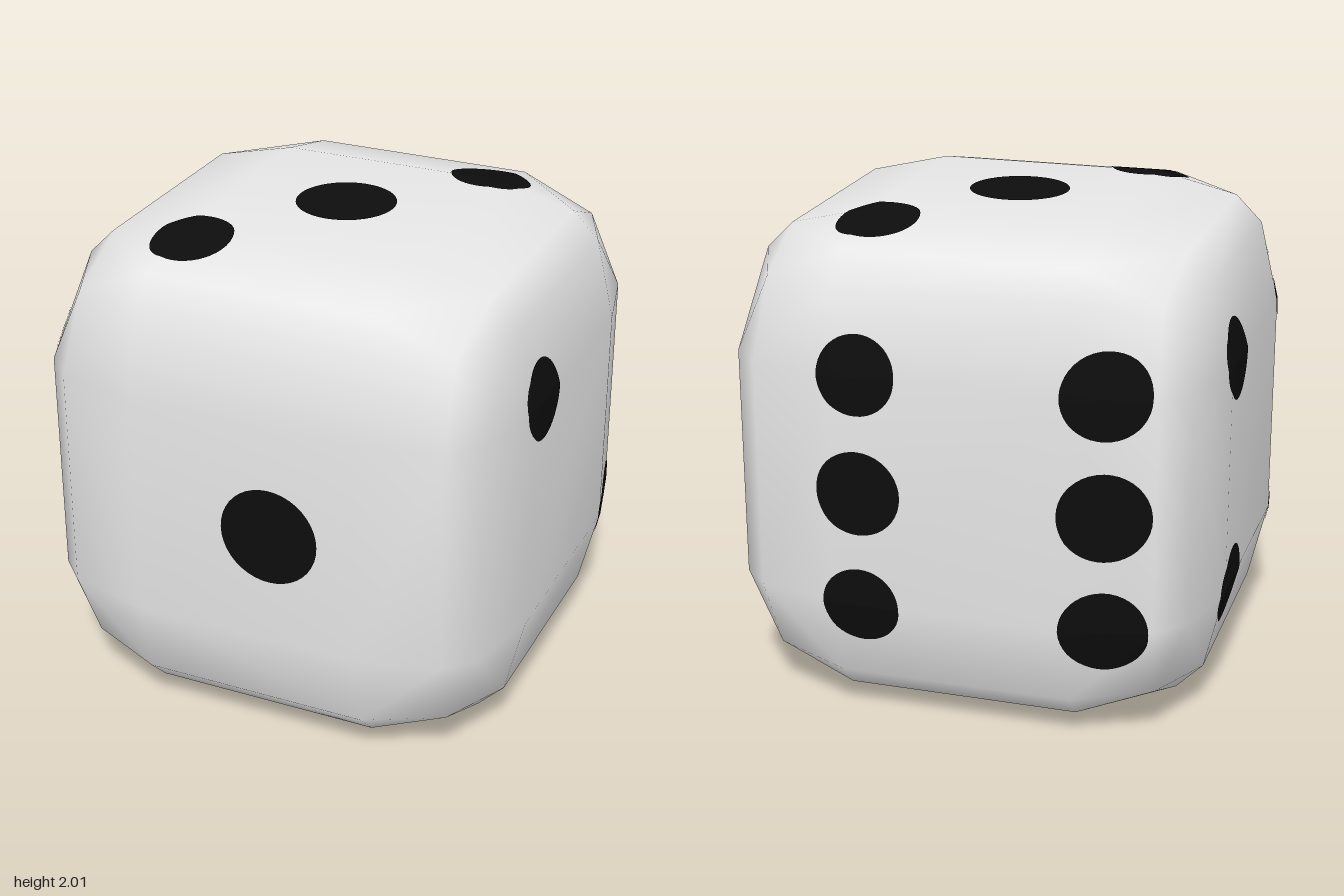
import * as THREE from 'three';
import { ConvexGeometry } from 'three/addons/geometries/ConvexGeometry.js';
import { mergeVertices } from 'three/addons/utils/BufferGeometryUtils.js';

const shellMat = new THREE.MeshStandardMaterial({ color: 0xe7e7e7 });
shellMat.name = 'paleGrey';
const pipMat = new THREE.MeshStandardMaterial({ color: 0x0d0d0d });
pipMat.name = 'black';

// Chamfered cube: a flat square on each face, bevelled edges, one point per corner
function bodyGeometry() {
  const points = [];
  const shapes = [
    [0.475, 0.475, 1], [0.475, 1, 0.475], [1, 0.475, 0.475],
    [0.475, 0.81, 0.92], [0.475, 0.92, 0.81], [0.81, 0.475, 0.92],
    [0.92, 0.475, 0.81], [0.81, 0.92, 0.475], [0.92, 0.81, 0.475],
    [0.79, 0.79, 0.79],
  ];
  for (const [x, y, z] of shapes)
    for (const sx of [-1, 1]) for (const sy of [-1, 1]) for (const sz of [-1, 1])
      points.push(new THREE.Vector3(x * sx, y * sy, z * sz));
  const hull = new ConvexGeometry(points);
  hull.deleteAttribute('normal');
  const smooth = mergeVertices(hull);
  smooth.computeVertexNormals();
  return smooth;
}

// Each face: its u and v directions, then pips as [u, v, radius]
const faces = {
  front: { u: [1, 0, 0], v: [0, 1, 0], pips: [[0.12, 0, 0.205]] },
  right: { u: [0, 0, -1], v: [0, 1, 0], pips: [[-0.36, 0.48, 0.163], [0.62, -0.48, 0.176]] },
  left: {
    u: [0, 0, 1], v: [0, 1, 0],
    pips: [[-0.36, 0.48, 0.163], [-0.36, -0.48, 0.163], [0.62, 0.48, 0.174], [0.62, -0.48, 0.174]],
  },
  back: {
    u: [-1, 0, 0], v: [0, 1, 0],
    pips: [[-0.36, 0.48, 0.16], [-0.36, 0, 0.174], [-0.36, -0.48, 0.16],
      [0.62, 0.48, 0.172], [0.62, 0, 0.18], [0.62, -0.48, 0.172]],
  },
  top: { u: [1, 0, 0], v: [0, 0, -1], pips: [[0, 0, 0.205], [0.42, 0.54, 0.167], [-0.42, -0.54, 0.167]] },
  bottom: {
    u: [1, 0, 0], v: [0, 0, 1],
    pips: [[0, 0, 0.205], [0.42, -0.55, 0.167], [0.55, 0.42, 0.167], [-0.55, -0.42, 0.167], [-0.42, 0.55, 0.167]],
  },
};

// A disc laid onto the body so that it follows the bends
function pipGeometry(body, u, v, [cu, cv, radius]) {
  const n = u.clone().cross(v);
  const inward = n.clone().negate();
  const ray = new THREE.Raycaster();
  const disc = new THREE.RingGeometry(0, radius, 40, 8);
  const pos = disc.attributes.position;
  const p = new THREE.Vector3();
  for (let i = 0; i < pos.count; i++) {
    const a = cu + pos.getX(i) + 1e-4, b = cv + pos.getY(i) + 2.3e-4;
    p.copy(n).multiplyScalar(3).addScaledVector(u, a).addScaledVector(v, b);
    ray.set(p, inward);
    const hit = ray.intersectObject(body)[0];
    p.addScaledVector(inward, (hit ? hit.distance : 2) - 0.004);
    pos.setXYZ(i, p.x, p.y, p.z);
  }
  disc.computeVertexNormals();
  return disc;
}

export function createModel() {
  const model = new THREE.Group();
  model.name = 'die';
  const body = new THREE.Mesh(bodyGeometry(), shellMat);
  body.name = 'body';

  for (const [name, face] of Object.entries(faces)) {
    const group = new THREE.Group();
    group.name = name + 'Pips';
    const u = new THREE.Vector3(...face.u), v = new THREE.Vector3(...face.v);
    for (const spec of face.pips) {
      const pip = new THREE.Mesh(pipGeometry(body, u, v, spec), pipMat);
      pip.name = 'pip';
      group.add(pip);
    }
    group.position.y = 1;
    model.add(group);
  }

  body.position.y = 1;
  model.add(body);
  return model;
}
